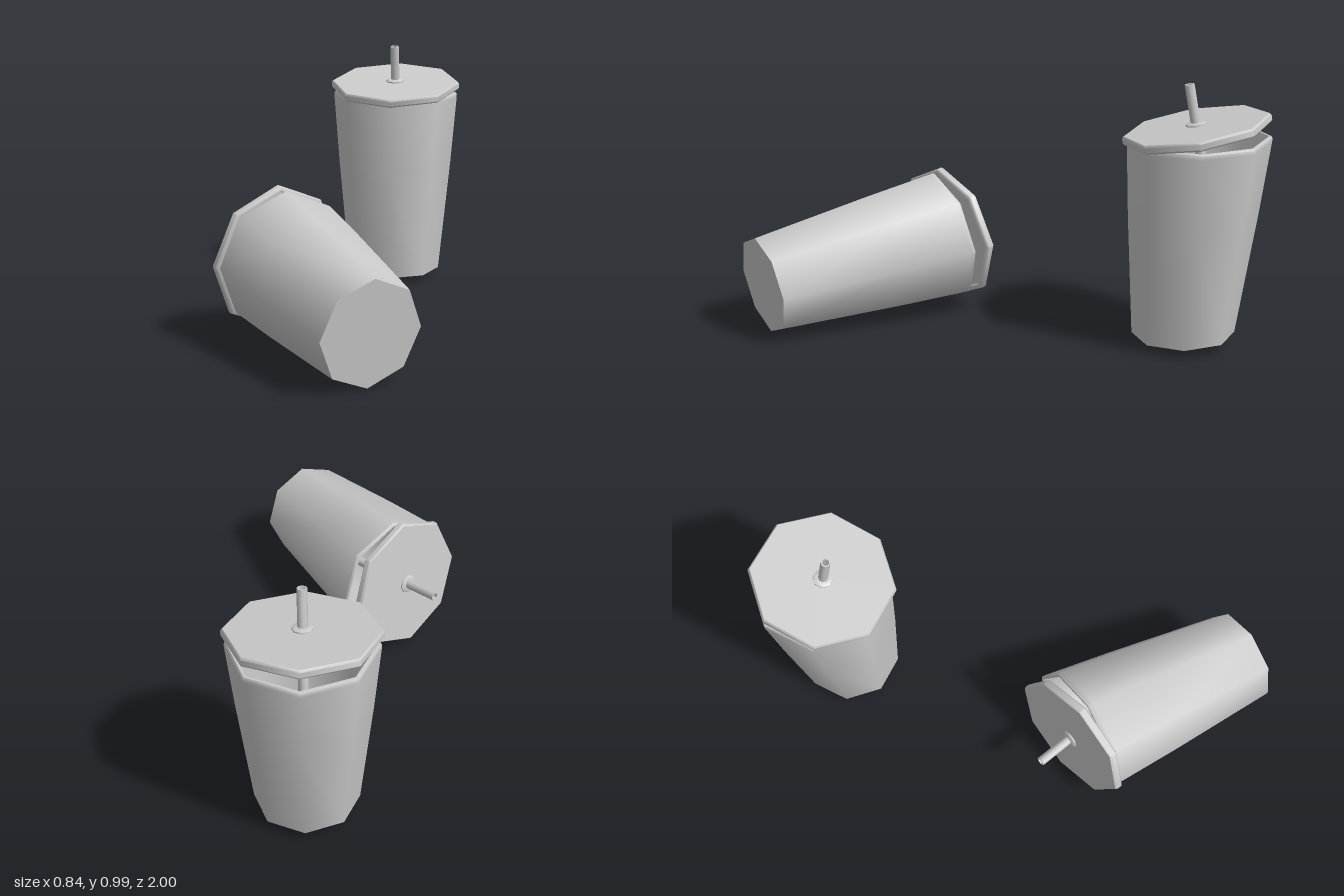
import * as THREE from 'three';
import { toCreasedNormals } from 'three/addons/utils/BufferGeometryUtils.js';

const material = new THREE.MeshStandardMaterial({ color: 0xcccccc, side: THREE.DoubleSide });
const SIDES = 8;
const LEAN = -0.086; // sideways skew of the cup wall per unit of height

// Eight-sided turned part from [radius, height] pairs, smooth around and sharp at hard edges
function turned(name, profile, lean = 0) {
  const points = profile.map(([r, y]) => new THREE.Vector2(r, y));
  const geometry = new THREE.LatheGeometry(points, SIDES);
  geometry.applyMatrix4(new THREE.Matrix4().makeShear(0, 0, 0, lean, 0, 0));
  const p = geometry.attributes.position;
  const skewed = new THREE.LatheGeometry(points, SIDES);
  const q = skewed.attributes.position;
  for (let i = 0; i < p.count; i++) q.setZ(i, q.getZ(i) + lean * q.getY(i));
  const mesh = new THREE.Mesh(toCreasedNormals(skewed, 0.95), material);
  mesh.name = name;
  return mesh;
}

function makeCup(name) {
  const cup = new THREE.Group();
  cup.name = name;

  // Hollow tapered body with a rounded lip
  cup.add(turned('cupBody', [
    [0, 0], [0.193, 0], [0.239, 0.46], [0.262, 0.735], [0.262, 0.748], [0.257, 0.755],
    [0.249, 0.755], [0.245, 0.745], [0.225, 0.46], [0.18, 0.015], [0, 0.015],
  ], LEAN));

  // Loose lid, resting on one side of the rim and raised on the other
  const lid = new THREE.Group();
  lid.name = 'lidAndStraw';
  lid.position.set(0, 0.786, -0.054);
  lid.rotation.x = 0.147;
  lid.add(turned('lid', [
    [0, 0.002], [0.25, 0.002], [0.254, -0.017], [0.266, -0.017], [0.272, -0.01],
    [0.272, 0.008], [0.266, 0.016], [0, 0.016],
  ]));
  lid.add(turned('strawCollar', [
    [0.018, 0.014], [0.038, 0.014], [0.038, 0.021], [0.03, 0.026], [0.018, 0.026],
  ]));
  lid.add(turned('straw', [
    [0.013, -0.4], [0.018, -0.4], [0.018, 0.168], [0.013, 0.168], [0.013, -0.4],
  ]));
  cup.add(lid);
  return cup;
}

export function createModel() {
  const model = new THREE.Group();
  model.name = 'twoCups';

  const standing = makeCup('standingCup');
  standing.position.set(0.145, 0.038, -0.7075);
  standing.rotation.x = 0.04;
  model.add(standing);

  // Second cup lying on its side, base towards the front
  const fallen = makeCup('fallenCup');
  const up = new THREE.Vector3(-0.592, 0.125, -0.797).normalize();
  const forward = new THREE.Vector3(-0.803, 0, 0.596).normalize();
  const side = new THREE.Vector3().crossVectors(up, forward).normalize();
  fallen.quaternion.setFromRotationMatrix(new THREE.Matrix4().makeBasis(side, up, forward));
  fallen.position.set(0.2, 0.195, 0.885);
  model.add(fallen);

  return model;
}
